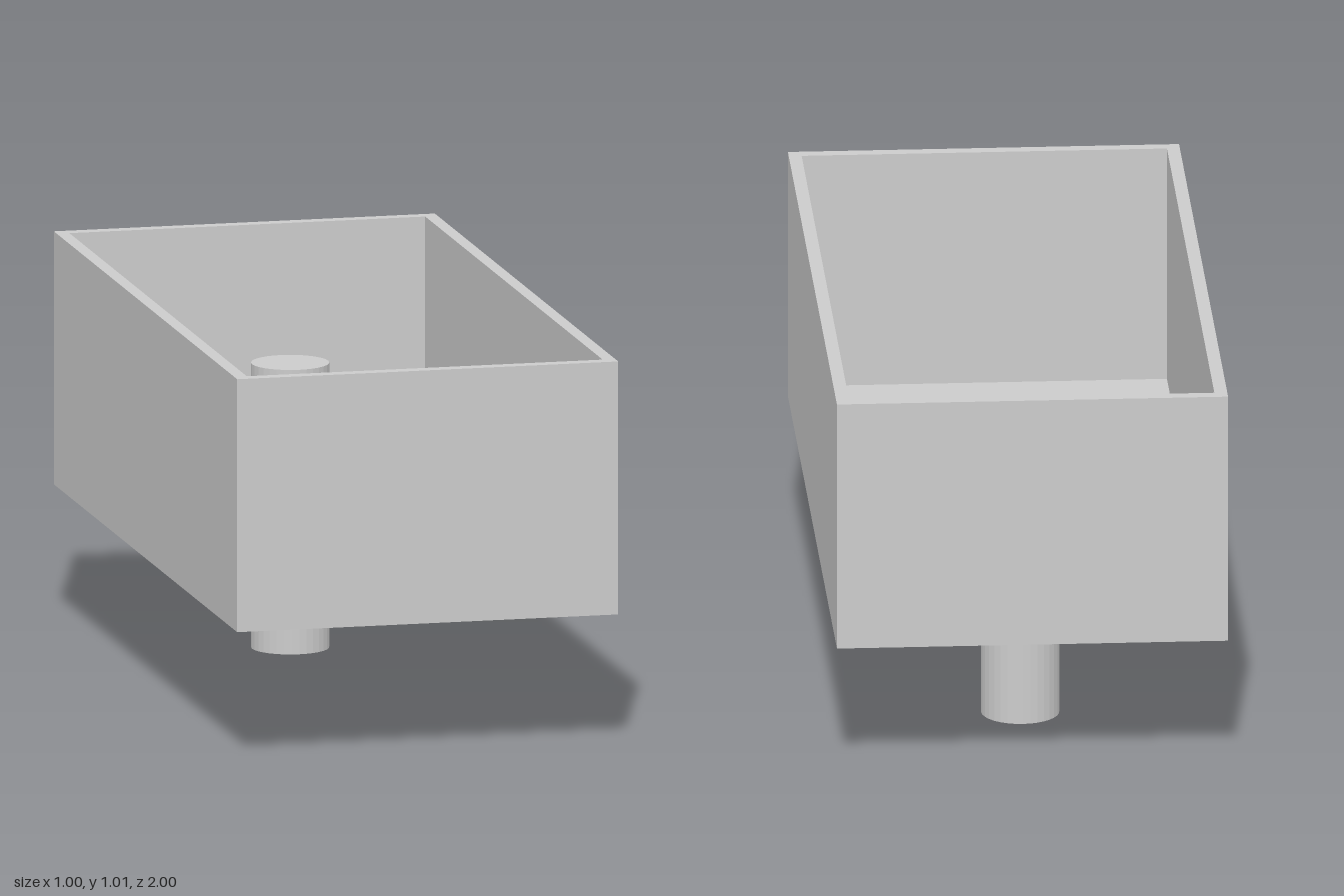
import * as THREE from 'three';

const material = new THREE.MeshStandardMaterial({ color: 0xcccccc, flatShading: true });

const BOTTOM = 0.35, FLOOR = 0.387, TOP = 1.008, WALL = 0.033;

// Traces a centred rectangle on a Shape or Path
function rectangle(path, halfX, halfY) {
  path.moveTo(-halfX, -halfY);
  path.lineTo(halfX, -halfY);
  path.lineTo(halfX, halfY);
  path.lineTo(-halfX, halfY);
  path.closePath();
  return path;
}

function addPart(group, name, geometry, x, y, z) {
  const mesh = new THREE.Mesh(geometry, material);
  mesh.name = name;
  mesh.position.set(x, y, z);
  group.add(mesh);
}

export function createModel() {
  const group = new THREE.Group();
  group.name = 'basin';

  // Four walls as one open frame
  const frame = rectangle(new THREE.Shape(), 0.5, 1);
  frame.holes.push(rectangle(new THREE.Path(), 0.5 - WALL, 1 - WALL));
  const walls = new THREE.ExtrudeGeometry(frame, { depth: TOP - BOTTOM, bevelEnabled: false });
  walls.rotateX(-Math.PI / 2);
  addPart(group, 'walls', walls, 0, BOTTOM, 0);

  // Floor fitted between the walls
  const floor = new THREE.BoxGeometry(1 - 2 * WALL, FLOOR - BOTTOM, 2 - 2 * WALL);
  addPart(group, 'floor', floor, 0, (BOTTOM + FLOOR) / 2, 0);

  // Closed standpipe passing through the floor near the back
  const pipeHeight = 0.74;
  const pipe = new THREE.CylinderGeometry(0.1, 0.1, pipeHeight, 32);
  addPart(group, 'standpipe', pipe, 0, pipeHeight / 2, -0.5);

  return group;
}
